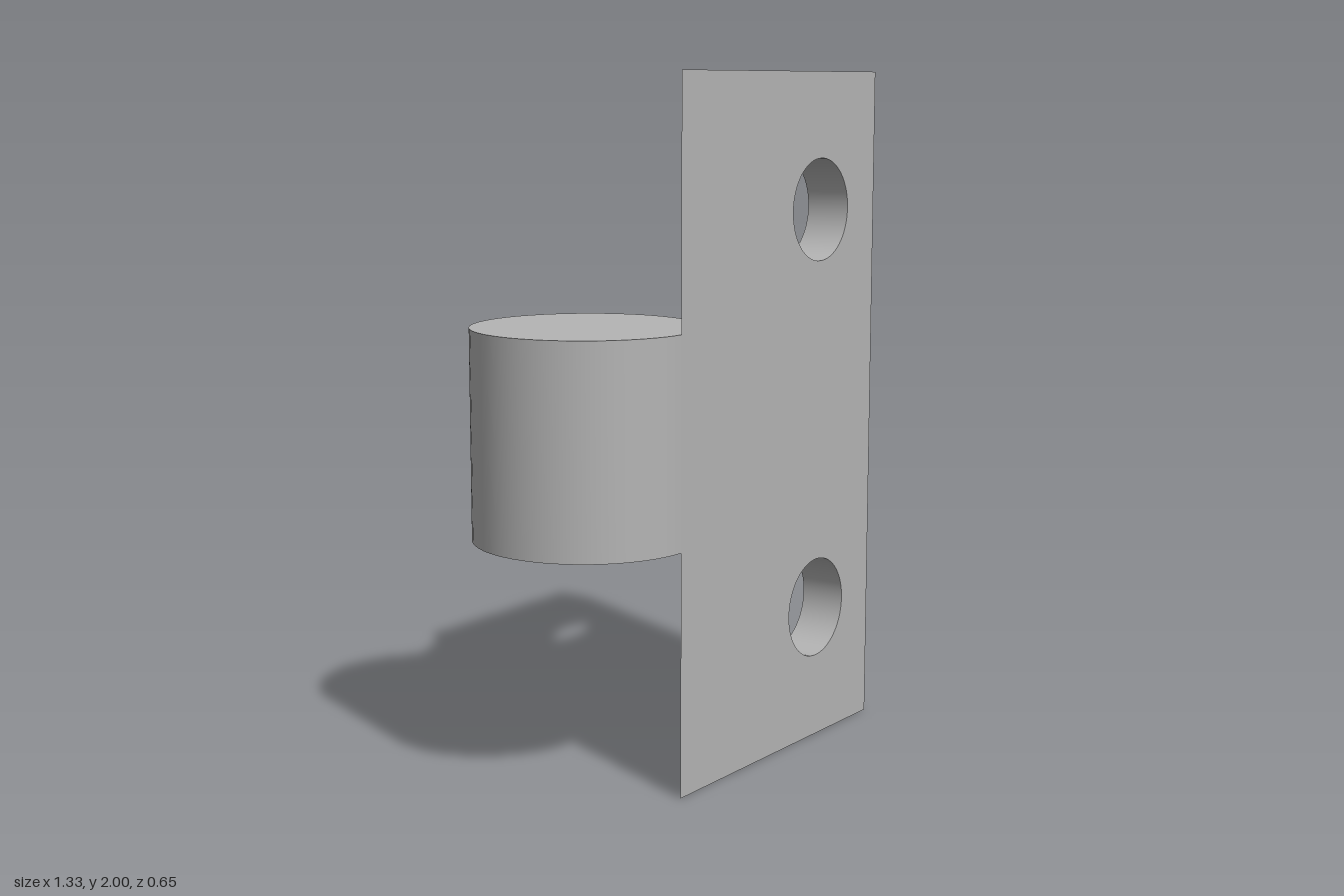
import * as THREE from 'three';
import { toCreasedNormals } from 'three/addons/utils/BufferGeometryUtils.js';

const R = 0.325;                    // knuckle radius
const AXIS = -0.34;                 // knuckle axis x, also the leaf's left edge
const FRONT = 0.325, BACK = 0.187;  // leaf faces in z
const RIGHT = 0.66, HEIGHT = 2;

export function createModel() {
  const group = new THREE.Group();
  const grey = new THREE.MeshStandardMaterial({ color: 0xb4b4b4 });
  grey.name = 'grey metal';

  const add = (name, geometry) => {
    const mesh = new THREE.Mesh(geometry, grey);
    mesh.name = name;
    group.add(mesh);
  };

  // The concave cut meets the leaf's back face here
  const angle = Math.asin(BACK / R);
  const seam = AXIS + R * Math.cos(angle);

  // Flat leaf with two screw holes
  const leaf = new THREE.Shape();
  leaf.moveTo(seam, 0);
  leaf.lineTo(RIGHT, 0);
  leaf.lineTo(RIGHT, HEIGHT);
  leaf.lineTo(seam, HEIGHT);
  leaf.closePath();
  for (const y of [0.4, 1.6]) {
    const hole = new THREE.Path();
    hole.absarc(0.36, y, 0.15, 0, Math.PI * 2, true);
    leaf.holes.push(hole);
  }
  const leafGeometry = new THREE.ExtrudeGeometry(leaf, {
    depth: FRONT - BACK, bevelEnabled: false, curveSegments: 32,
  });
  leafGeometry.translate(0, 0, BACK);
  add('leaf', toCreasedNormals(leafGeometry, 0.5));

  // Leaf edge hollowed to the knuckle radius, drawn in x-z and extruded along y
  const edge = new THREE.Shape();
  edge.moveTo(AXIS, FRONT);
  edge.absarc(AXIS, 0, R, Math.PI / 2, angle, true);
  edge.lineTo(seam, FRONT);
  edge.closePath();
  const edgeGeometry = new THREE.ExtrudeGeometry(edge, {
    depth: HEIGHT, bevelEnabled: false, curveSegments: 24,
  });
  edgeGeometry.rotateX(Math.PI / 2);
  edgeGeometry.translate(0, HEIGHT, 0);
  add('hollowEdge', toCreasedNormals(edgeGeometry, 0.5));

  // Solid knuckle
  const knuckle = new THREE.CylinderGeometry(R, R, 0.6, 64);
  knuckle.translate(AXIS, 1, 0);
  add('knuckle', knuckle);

  return group;
}
